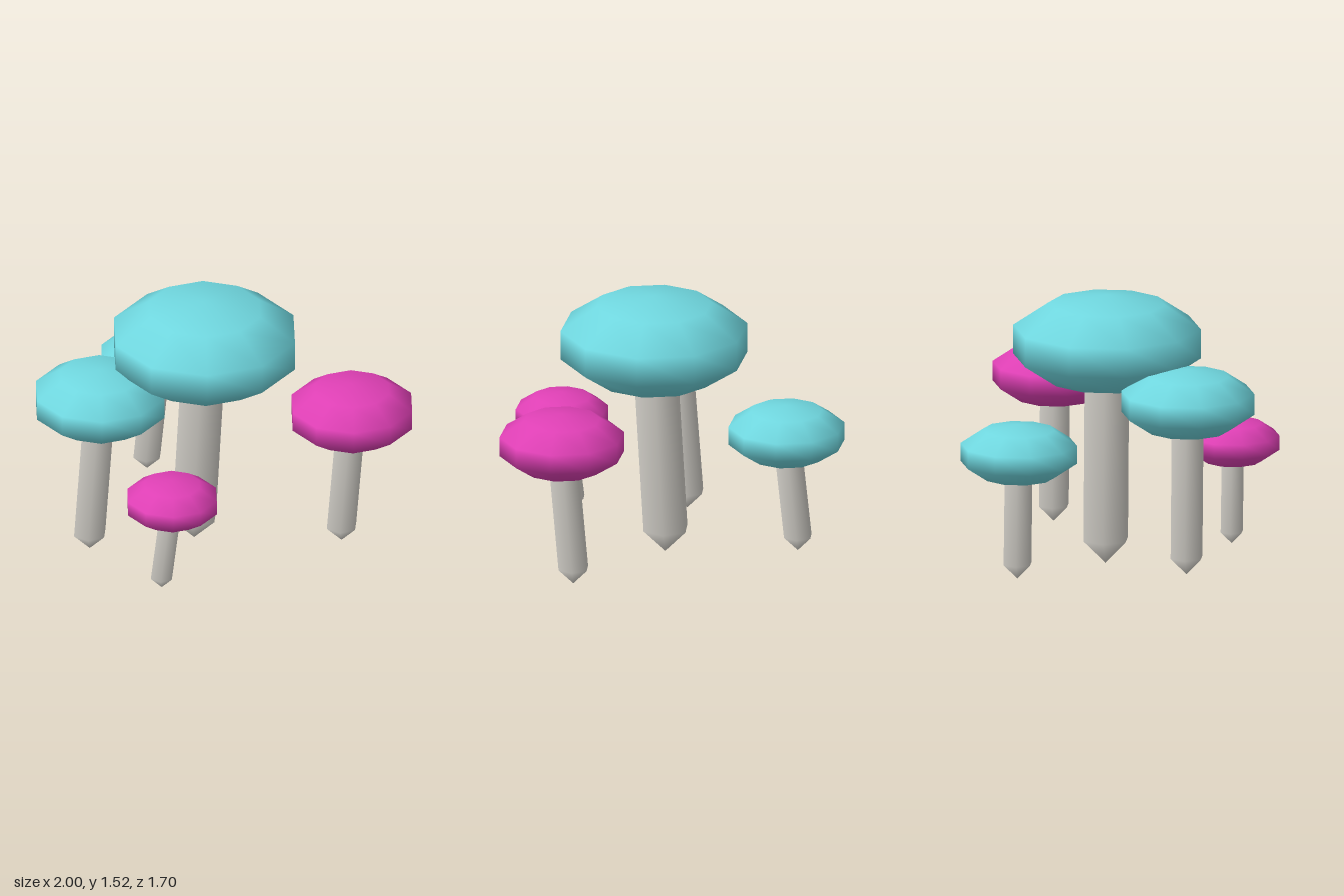
import * as THREE from 'three';

const teal = new THREE.MeshStandardMaterial({ name: 'teal cap', color: 0x70d8e0 });
const pink = new THREE.MeshStandardMaterial({ name: 'pink cap', color: 0xe040b6 });
const grey = new THREE.MeshStandardMaterial({ name: 'pale stem', color: 0xd6d3cc });

const SHOULDER = 0.137; // height where every stem turns into its pointed foot
const LEAN = 0.07;      // sideways drift of a stem from foot to cap

// x, z, cap centre height, half width, cap material
const mushrooms = [
  ['large', -0.077, -0.09, 1.255, 0.5, teal],
  ['frontMedium', -0.445, 0.402, 1.008, 0.355, teal],
  ['backSmall', -0.69, -0.52, 0.755, 0.31, teal],
  ['sideMedium', 0.665, -0.46, 0.883, 0.333, pink],
  ['frontSmall', 0.17, 0.59, 0.636, 0.247, pink],
];

// Ten-sided flattened cap with a side face towards +x and -x
function makeCap(half, material) {
  const r = half / (Math.sin(Math.PI * 0.4) * Math.cos(Math.PI / 10));
  const geo = new THREE.SphereGeometry(1, 10, 5, Math.PI / 2);
  geo.scale(r, half * 0.54, r);
  return new THREE.Mesh(geo, material);
}

// Six-sided leaning stem with a pointed foot, ending inside the cap
function makeStem(half, top) {
  const r = half * 0.273;
  const profile = [[0, SHOULDER - r], [r, SHOULDER], [r, top]].map(([x, y]) => new THREE.Vector2(x, y));
  const geo = new THREE.LatheGeometry(profile, 6, Math.PI / 2);
  const pos = geo.attributes.position;
  for (let i = 0; i < pos.count; i++) {
    const t = Math.max(0, (pos.getY(i) - SHOULDER) / (top - SHOULDER));
    pos.setX(i, pos.getX(i) - LEAN * (1 - t));
  }
  return new THREE.Mesh(geo, grey);
}

export function createModel() {
  const model = new THREE.Group();
  model.name = 'mushroomCluster';
  for (const [name, x, z, height, half, material] of mushrooms) {
    const mushroom = new THREE.Group();
    mushroom.name = name + 'Mushroom';
    mushroom.position.set(x, 0, z);
    const cap = makeCap(half, material);
    cap.name = 'cap';
    cap.position.y = height;
    const stem = makeStem(half, height);
    stem.name = 'stem';
    mushroom.add(cap, stem);
    model.add(mushroom);
  }
  return model;
}
